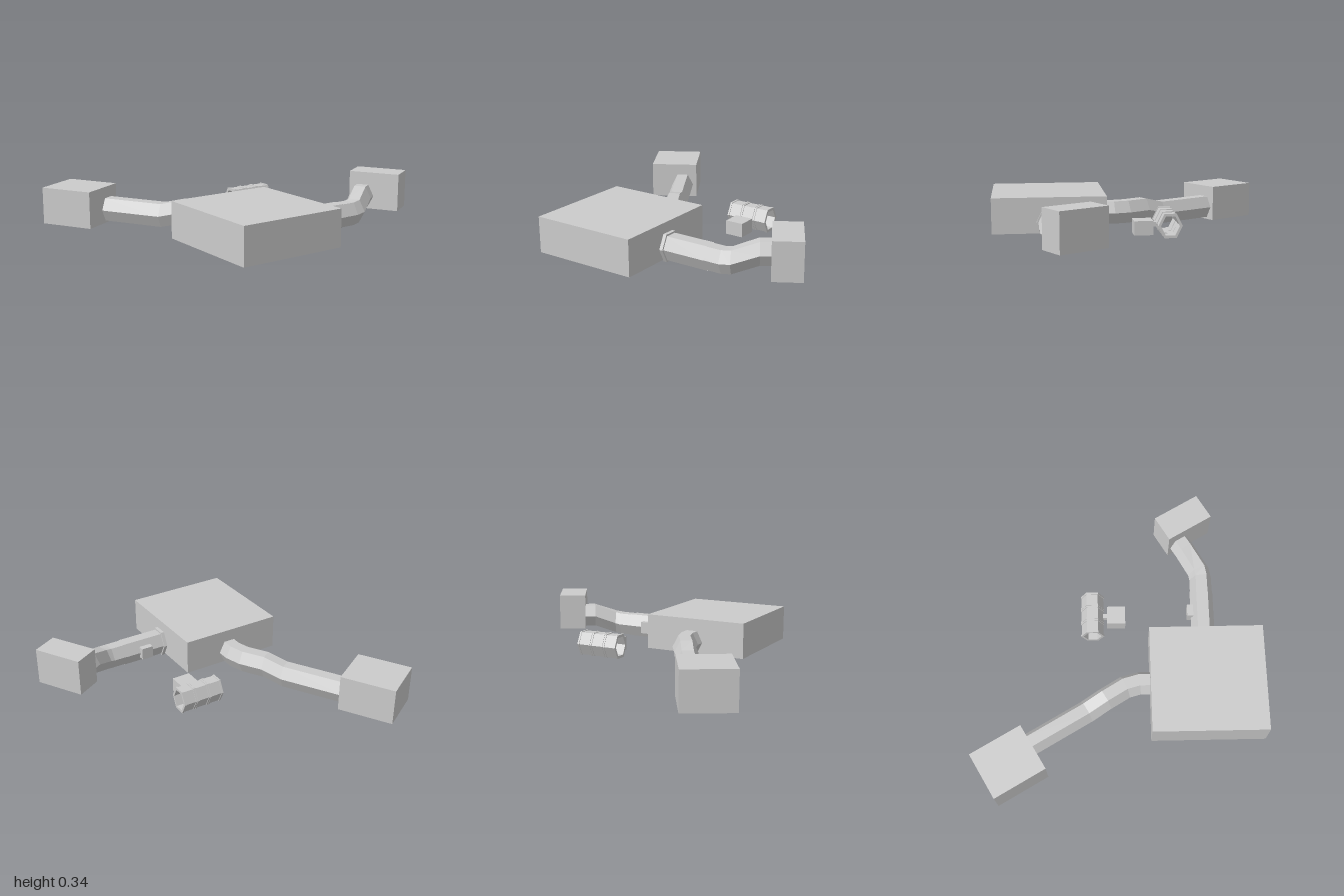
import * as THREE from 'three';

const material = new THREE.MeshStandardMaterial({
  color: 0xcccccc, flatShading: true, side: THREE.DoubleSide,
});

// Six-sided tunnel section with a flat top and floor, as [side, up]
const HEX = [[1, 0], [0.5, 1], [-0.5, 1], [-1, 0], [-0.5, -1], [0.5, -1]];
const RADIUS = 0.075;

function add(parent, name, geometry) {
  const mesh = new THREE.Mesh(geometry, material);
  mesh.name = name;
  parent.add(mesh);
  return mesh;
}

function box(parent, name, size, position, angle = 0) {
  const mesh = add(parent, name, new THREE.BoxGeometry(...size));
  mesh.position.set(...position);
  mesh.rotation.y = angle;
  return mesh;
}

// Sweeps the hexagon along a path, keeping it upright and mitring the bends
function sweep(points, radius = RADIUS) {
  const path = points.map((p) => new THREE.Vector3(...p));
  const heading = (i) => {
    const d = path[i + 1].clone().sub(path[i]);
    d.y = 0;
    return d.normalize();
  };
  const positions = [], index = [];
  path.forEach((p, i) => {
    const before = heading(Math.max(i - 1, 0));
    const after = heading(Math.min(i, path.length - 2));
    const tangent = before.clone().add(after).normalize();
    const mitre = radius / tangent.dot(after);
    for (const [s, u] of HEX) {
      positions.push(p.x - tangent.z * s * mitre, p.y + u * radius, p.z + tangent.x * s * mitre);
    }
    if (i === 0) return;
    for (let k = 0; k < 6; k++) {
      const a = (i - 1) * 6 + k, b = (i - 1) * 6 + (k + 1) % 6;
      index.push(a, b, a + 6, b, b + 6, a + 6);
    }
  });
  const geometry = new THREE.BufferGeometry();
  geometry.setAttribute('position', new THREE.Float32BufferAttribute(positions, 3));
  geometry.setIndex(index);
  geometry.computeVertexNormals();
  return geometry;
}

// Hollow hexagonal ring running along z
function hexRing(outer, inner, depth) {
  const points = (r) => HEX.map(([s, u]) => new THREE.Vector2(s * r, u * r));
  const shape = new THREE.Shape(points(outer));
  shape.holes.push(new THREE.Path(points(inner)));
  return new THREE.ExtrudeGeometry(shape, { depth, bevelEnabled: false })
    .translate(0, 0, -depth / 2);
}

export function createModel() {
  const model = new THREE.Group();
  const turn = Math.PI / 6;

  // Chambers
  box(model, 'mainChamber', [0.73, 0.23, 0.69], [0.565, 0.165, 0.255]);
  box(model, 'frontChamber', [0.36, 0.24, 0.32], [-0.695, 0.12, 0.76], turn);
  box(model, 'backChamber', [0.325, 0.24, 0.18], [0.445, 0.22, -0.842], turn);

  // Long tunnel, dropping gently towards the front chamber
  add(model, 'longTunnel', sweep([
    [0.21, 0.125, 0.237], [0.13, 0.125, 0.237], [0.04, 0.125, 0.262],
    [-0.09, 0.125, 0.34], [-0.21, 0.09, 0.41], [-0.59, 0.09, 0.63],
  ]));

  // Short tunnel, bending and climbing to the back chamber
  add(model, 'shortTunnel', sweep([
    [0.56, 0.125, -0.08], [0.56, 0.125, -0.49], [0.55, 0.132, -0.54],
    [0.462, 0.185, -0.67], [0.405, 0.185, -0.765],
  ], 0.073));
  add(model, 'shortTunnelSleeve', sweep([[0.56, 0.125, -0.1], [0.56, 0.125, -0.4]], 0.076));
  const collar = add(model, 'tunnelCollar', hexRing(0.087, 0.07, 0.025));
  collar.position.set(0.56, 0.125, -0.1);
  box(model, 'tunnelSidePlate', [0.04, 0.08, 0.08], [0.479, 0.125, -0.25]);

  // Separate open tube made of three rimmed segments
  const tube = new THREE.Group();
  tube.name = 'openTube';
  tube.position.set(-0.165, 0.13, -0.23);
  model.add(tube);
  for (const z of [-0.094, 0, 0.094]) {
    add(tube, 'tubeSegment', hexRing(0.072, 0.06, 0.092)).position.z = z;
    for (const end of [-0.04, 0.04]) {
      add(tube, 'tubeRim', hexRing(0.076, 0.059, 0.012)).position.z = z + end;
    }
  }

  // Small box attached to the open tube
  box(model, 'smallBox', [0.12, 0.09, 0.12], [-0.01, 0.105, -0.23]);
  box(model, 'smallBoxConnector', [0.04, 0.03, 0.03], [-0.085, 0.12, -0.23]);

  return model;
}
